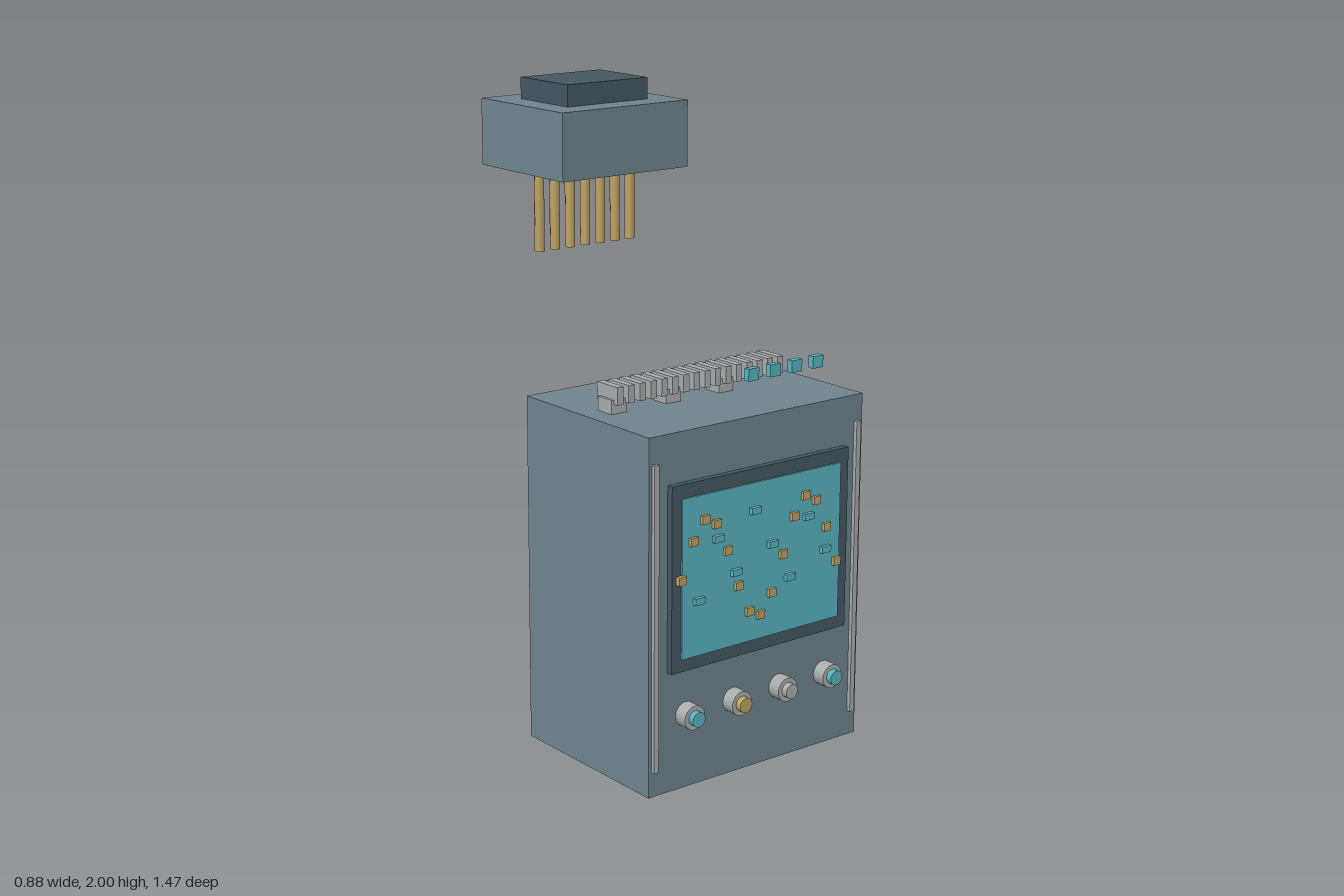
import * as THREE from 'three';

const paint = (name, color) => {
  const m = new THREE.MeshStandardMaterial({ color });
  m.name = name;
  return m;
};

export function createModel() {
  const model = new THREE.Group();
  model.name = 'instrument';
  const casing = paint('slate casing', 0x70858f);
  const dark = paint('dark slate', 0x455861);
  const cyan = paint('cyan', 0x5ab4c0);
  const gold = paint('gold', 0xc0a464);
  const grey = paint('light grey', 0xaaadae);

  const add = (name, geometry, material, x, y, z) => {
    const mesh = new THREE.Mesh(geometry, material);
    mesh.name = name;
    mesh.position.set(x, y, z);
    model.add(mesh);
    return mesh;
  };
  // Box given by its lower and upper limits on each axis
  const box = (name, material, [x0, x1], [y0, y1], [z0, z1]) =>
    add(name, new THREE.BoxGeometry(x1 - x0, y1 - y0, z1 - z0), material,
      (x0 + x1) / 2, (y0 + y1) / 2, (z0 + z1) / 2);
  const around = (c, size) => [c - size / 2, c + size / 2];

  // Main cabinet
  const front = 0.635;
  box('cabinet', casing, [-0.44, 0.398], [0, 1.123], [0.028, front]);
  for (const x of [-0.42, 0.374]) {
    box('frontRail', grey, around(x, 0.018), [0.08, 1.04], [front, 0.648]);
  }

  // Display with its bezel
  box('bezel', dark, [-0.37, 0.325], [0.385, 0.968], [front, 0.656]);
  box('screen', cyan, [-0.335, 0.29], [0.425, 0.925], [0.656, 0.661]);

  // Wave trace across the screen
  for (let i = 0; i < 15; i++) {
    const y = 0.676 + 0.175 * Math.sin(0.7 * i);
    box('tracePoint', gold, around(-0.34 + 0.0439 * i, 0.028), around(y, 0.026), [0.652, 0.672]);
  }

  // Small raised chips scattered over the screen
  for (let i = 0; i < 8; i++) {
    const y = 0.6 + 0.06 * ((i * 3) % 5);
    box('screenChip', cyan, around(-0.274 + 0.0716 * i, 0.037), around(y, 0.021), [0.655, 0.674]);
  }

  // Row of knobs with coloured centres
  [cyan, gold, grey, cyan].forEach((material, i) => {
    const x = -0.298 + 0.1847 * i;
    const collar = new THREE.CylinderGeometry(0.039, 0.039, 0.045, 16);
    const button = new THREE.CylinderGeometry(0.024, 0.024, 0.03, 16);
    add('knobCollar', collar, grey, x, 0.238, 0.6575).rotation.x = Math.PI / 2;
    add('knobCentre', button, material, x, 0.238, 0.685).rotation.x = Math.PI / 2;
  });

  // Toothed strip on top and its three feet
  for (let i = 0; i < 16; i++) {
    box('connectorTooth', grey, around(-0.348 + 0.042 * i, 0.023), [1.153, 1.208], [0.281, 0.381]);
  }
  for (const x of [-0.34, -0.133, 0.075]) {
    box('connectorFoot', grey, around(x, 0.058), [1.12, 1.167], [0.297, 0.365]);
  }

  // Floating indicator blocks
  for (let i = 0; i < 4; i++) {
    box('indicator', cyan, around(-0.131 + 0.0835 * i, 0.04), around(1.284, 0.037), [0.714, 0.735]);
  }

  // Raised plug module with a row of pins
  box('plugBody', casing, [-0.073, 0.44], [1.705, 1.928], [-0.735, -0.28]);
  box('plugCap', dark, [0.02, 0.348], [1.928, 2], [-0.64, -0.378]);
  const pin = new THREE.CylinderGeometry(0.017, 0.017, 0.27, 8);
  for (let i = 0; i < 7; i++) {
    add('plugPin', pin, gold, -0.004 + 0.0627 * i, 1.573, -0.508);
  }

  return model;
}
